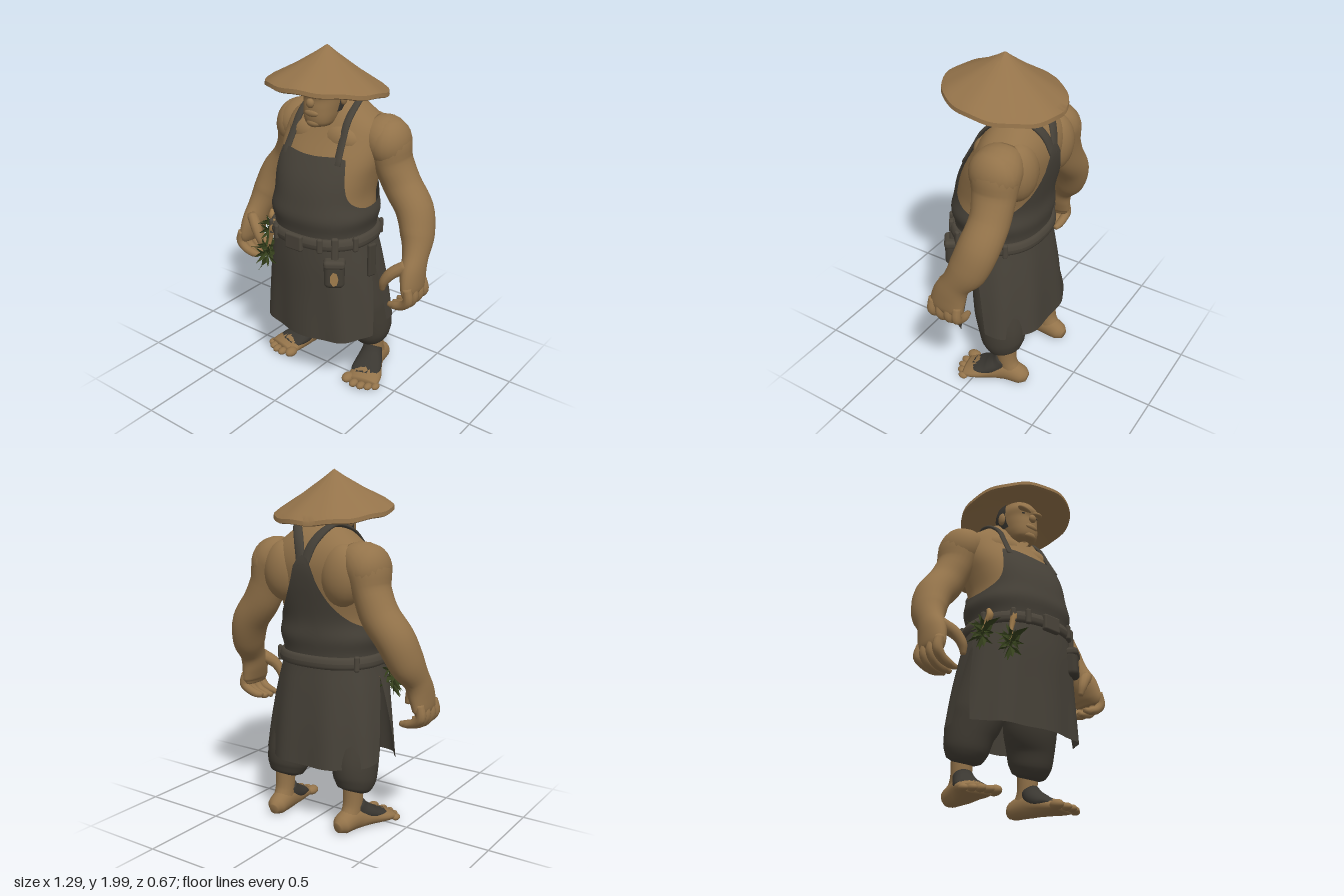
import * as THREE from 'three';
import { toCreasedNormals } from 'three/addons/utils/BufferGeometryUtils.js';
import { RoundedBoxGeometry } from 'three/addons/geometries/RoundedBoxGeometry.js';

const mat = (name, color, side = THREE.FrontSide) => {
  const m = new THREE.MeshStandardMaterial({ color, side });
  m.name = name;
  return m;
};

// Grid surface from f(i, j); i runs around, j runs along
function grid(f, nu, nv, closed) {
  const pos = [], idx = [], cols = closed ? nu : nu + 1;
  for (let j = 0; j <= nv; j++) for (let i = 0; i < cols; i++) pos.push(...f(i / nu, j / nv));
  for (let j = 0; j < nv; j++) for (let i = 0; i < nu; i++) {
    const a = j * cols + i, b = j * cols + (i + 1) % cols, c = a + cols, d = b + cols;
    idx.push(a, b, c, b, d, c);
  }
  const g = new THREE.BufferGeometry();
  g.setAttribute('position', new THREE.Float32BufferAttribute(pos, 3));
  g.setIndex(idx);
  g.computeVertexNormals();
  return g;
}

// Smooth lookup in rows sorted by their first value
function sample(rows, y) {
  let k = 0;
  while (k < rows.length - 2 && y > rows[k + 1][0]) k++;
  const p = rows[Math.max(k - 1, 0)], a = rows[k], b = rows[k + 1], q = rows[Math.min(k + 2, rows.length - 1)];
  const h = b[0] - a[0], t = Math.min(Math.max((y - a[0]) / h, 0), 1), t2 = t * t, t3 = t2 * t;
  return a.map((v, i) => {
    const m0 = (b[i] - p[i]) / (b[0] - p[0]) * h, m1 = (q[i] - v) / (q[0] - a[0]) * h;
    return (2 * t3 - 3 * t2 + 1) * v + (t3 - 2 * t2 + t) * m0 + (3 * t2 - 2 * t3) * b[i] + (t3 - t2) * m1;
  });
}

// Point on a stacked body; rows are [y, half width, front z, back z], angle 0 faces front
const bend = v => Math.sign(v) * Math.abs(v) ** 0.85;
function around(rows, ang, y, off = 0) {
  const [, rx, zf, zb] = sample(rows, y);
  return [bend(Math.sin(ang)) * (rx + off), y, (zf + zb) / 2 + bend(Math.cos(ang)) * ((zf - zb) / 2 + off)];
}
function stack(rows, nu = 48, nv = 36) {
  const y0 = rows[0][0], y1 = rows[rows.length - 1][0];
  return grid((u, v) => around(rows, (u * 2 - 1) * Math.PI, y0 + (y1 - y0) * v), nu, nv, true);
}

// Swept limb; points are [x, y, z, half width, half depth]
function limb(pts, s = 1, nu = 16, floor = -1) {
  const path = new THREE.CatmullRomCurve3(pts.map(p => new THREE.Vector3(p[0] * s, p[1], p[2])));
  const radii = new THREE.CatmullRomCurve3(pts.map(p => new THREE.Vector3(p[3], p[4], 0)));
  const n = (pts.length - 1) * 5;
  return grid((u, v) => {
    const k = Math.round(v * (n + 2)), t = Math.min(Math.max((k - 1) / n, 0), 1);
    const c = path.getPoint(t), r = radii.getPoint(t), T = path.getTangent(t);
    if (k === 0 || k === n + 2) r.set(0, 0, 0);
    const side = new THREE.Vector3(1, 0, 0).addScaledVector(T, -T.x).normalize();
    const nor = T.clone().cross(side);
    c.addScaledVector(side, Math.cos(u * 2 * Math.PI) * r.x).addScaledVector(nor, Math.sin(u * 2 * Math.PI) * r.y);
    return [c.x, Math.max(c.y, floor), c.z];
  }, nu, n + 2, true);
}

const TORSO = [[0.85, 0.28, 0.25, -0.23], [1, 0.27, 0.25, -0.23], [1.1, 0.28, 0.255, -0.235], [1.2, 0.275, 0.245, -0.245],
  [1.3, 0.29, 0.215, -0.265], [1.4, 0.31, 0.165, -0.285], [1.5, 0.31, 0.105, -0.295], [1.58, 0.285, 0.06, -0.28],
  [1.64, 0.215, 0.03, -0.25], [1.69, 0.15, 0, -0.21], [1.74, 0.08, -0.02, -0.15]];
const HEAD = [[1.572, 0.03, 0.1, 0.03], [1.585, 0.066, 0.13, 0], [1.62, 0.085, 0.145, -0.04], [1.68, 0.097, 0.145, -0.09],
  [1.73, 0.103, 0.14, -0.11], [1.78, 0.105, 0.15, -0.115], [1.83, 0.09, 0.12, -0.1]];
const SKIRT = [[0.35, 0.385, 0.268, -0.32], [0.6, 0.355, 0.27, -0.297], [0.8, 0.323, 0.275, -0.27], [0.95, 0.292, 0.27, -0.245], [1.02, 0.285, 0.265, -0.24]];
// Upper edge of the bib by angle from the front
const BIB = [[0, 1.43], [0.66, 1.43], [0.74, 1.36], [0.95, 1.24], [1.2, 1.18], [1.6, 1.15], [2.2, 1.19], [2.65, 1.28], [2.92, 1.4], [3.04, 1.52], [3.15, 1.56]];

export function createModel() {
  const model = new THREE.Group();
  const skin = mat('skin', 0x93734a), straw = mat('straw', 0x94734a), cloth = mat('apronCloth', 0x464138, THREE.DoubleSide);
  const dark = mat('trouserCloth', 0x423d34), belt = mat('beltLeather', 0x4a443a), hair = mat('hair', 0x3a3731);
  const leaf = mat('leaf', 0x35401c, THREE.DoubleSide), root = mat('root', 0xa07c4c);
  const add = (name, geo, m, parent = model) => {
    const mesh = new THREE.Mesh(geo, m);
    mesh.name = name;
    parent.add(mesh);
    return mesh;
  };
  const part = name => { const g = new THREE.Group(); g.name = name; model.add(g); return g; };
  const blob = (name, p, r, m, parent = model) => {
    const b = add(name, new THREE.SphereGeometry(1, 20, 14), m, parent);
    b.position.set(...p);
    b.scale.set(...r);
    return b;
  };

  // Torso, neck and head
  add('torso', stack(TORSO), skin);
  add('neck', limb([[0, 1.5, -0.1, 0.13, 0.12], [0, 1.6, -0.05, 0.1, 0.1], [0, 1.72, -0.02, 0.085, 0.09]], 1, 24), skin);
  const head = part('headGroup');
  add('head', stack(HEAD, 32, 24), skin, head);
  add('hair', grid((u, v) => around(HEAD, 1.5 + u * (2 * Math.PI - 3), 1.66 + 0.17 * v, 0.009), 32, 8, false), hair, head);
  blob('nose', [0, 1.712, 0.148], [0.024, 0.026, 0.02], skin, head);
  blob('mouth', [0, 1.655, 0.138], [0.045, 0.02, 0.016], skin, head);
  blob('chin', [0, 1.6, 0.12], [0.045, 0.025, 0.028], skin, head);

  // Tilted straw hat, hollow underneath
  const hat = new THREE.LatheGeometry([[0.001, 1.9], [0.15, 1.835], [0.3, 1.767], [0.325, 1.757], [0.336, 1.763], [0.333, 1.785],
    [0.3, 1.81], [0.17, 1.885], [0.06, 1.957], [0.001, 2]].map(p => new THREE.Vector2(...p)), 64);
  const hp = hat.attributes.position;
  for (let i = 0; i < hp.count; i++) {
    const x = hp.getX(i), z = hp.getZ(i), w = Math.hypot(x, z) / 0.336;
    hp.setY(i, hp.getY(i) + z * 0.14 + w * w * 0.004 * Math.sin(Math.atan2(x, z) * 9));
  }
  add('hat', toCreasedNormals(hat, 0.7), straw);

  // Paired parts
  for (const s of [1, -1]) {
    const side = s > 0 ? 'left' : 'right';
    blob(side + 'Brow', [s * 0.045, 1.765, 0.13], [0.05, 0.016, 0.026], skin, head).rotation.z = s * 0.2;
    blob(side + 'Eye', [s * 0.045, 1.742, 0.126], [0.018, 0.006, 0.008], hair, head);
    blob(side + 'Ear', [s * 0.112, 1.73, 0], [0.016, 0.04, 0.028], skin, head);
    blob(side + 'Chest', [s * 0.11, 1.5, 0.02], [0.13, 0.09, 0.075], skin);
    blob(side + 'ShoulderBlade', [s * 0.19, 1.45, -0.2], [0.13, 0.17, 0.105], skin);

    const arm = part(side + 'Arm');
    add('arm', limb([[0.2, 1.55, -0.13, 0.08, 0.11], [0.3, 1.5, -0.14, 0.125, 0.145], [0.345, 1.37, -0.15, 0.1, 0.125],
      [0.4, 1.25, -0.16, 0.105, 0.112], [0.49, 1.13, -0.15, 0.103, 0.115], [0.54, 1, -0.11, 0.09, 0.11],
      [0.568, 0.9, -0.05, 0.068, 0.085], [0.58, 0.82, -0.015, 0.06, 0.1], [0.592, 0.74, 0, 0.046, 0.105],
      [0.592, 0.7, 0, 0.025, 0.085]], s, 24), skin, arm);
    blob('deltoid', [s * 0.325, 1.48, -0.14], [0.108, 0.14, 0.145], skin, arm);
    [0.08, 0.028, -0.025, -0.075].forEach((z, i) => {
      const e = [0.01, 0, 0.005, 0.02][i];
      add('finger' + (i + 1), limb([[0.603, 0.77, z, 0.025, 0.028], [0.615, 0.7, z * 1.05, 0.028, 0.028], [0.583, 0.65 + e, z, 0.026, 0.027],
        [0.53, 0.63 + e, z * 0.95, 0.023, 0.025], [0.485, 0.625 + e, z * 0.9, 0.014, 0.015]], s, 10), skin, arm);
    });
    add('thumb', limb([[0.56, 0.87, 0.03, 0.035, 0.04], [0.495, 0.825, 0.07, 0.034, 0.034], [0.458, 0.77, 0.085, 0.027, 0.027],
      [0.445, 0.715, 0.08, 0.014, 0.015]], s, 10), skin, arm);

    const leg = part(side + 'Leg');
    add('trouserLeg', limb([[0.15, 0.9, -0.02, 0.12, 0.15], [0.195, 0.5, -0.09, 0.15, 0.16], [0.225, 0.38, -0.12, 0.13, 0.15],
      [0.235, 0.29, -0.135, 0.118, 0.132], [0.237, 0.235, -0.15, 0.092, 0.1], [0.237, 0.22, -0.155, 0.06, 0.06]], s, 24), dark, leg);
    add('ankle', limb([[0.24, 0.3, -0.16, 0.06, 0.062], [0.24, 0.15, -0.165, 0.055, 0.06], [0.237, 0.05, -0.19, 0.058, 0.085]], s), skin, leg);
    add('foot', limb([[0.225, 0.045, -0.3, 0.025, 0.03], [0.23, 0.055, -0.265, 0.055, 0.055], [0.245, 0.07, -0.15, 0.066, 0.075],
      [0.27, 0.055, -0.06, 0.085, 0.058], [0.3, 0.04, 0.02, 0.1, 0.042], [0.312, 0.03, 0.075, 0.095, 0.028]], s, 20, 0.008), skin, leg);
    add('footWrap', limb([[0.243, 0.15, -0.145, 0.058, 0.05], [0.25, 0.105, -0.115, 0.072, 0.055], [0.268, 0.075, -0.06, 0.086, 0.048],
      [0.288, 0.064, 0, 0.088, 0.027], [0.296, 0.055, 0.035, 0.07, 0.022]], s, 20, 0.014), hair, leg);
    [[0.222, 0.085, 0.033], [0.278, 0.104, 0.025], [0.325, 0.098, 0.024], [0.365, 0.08, 0.023], [0.4, 0.052, 0.022]].forEach(([x, z, r], i) =>
      blob('toe' + (i + 1), [s * x, r * 0.85 + 0.008, z], [r, r * 0.85, r * 1.35], skin, leg));

    add(side + 'Strap', limb([[0.178, 1.4, 0.15, 0.024, 0.008], [0.167, 1.52, 0.085, 0.023, 0.009], [0.16, 1.61, 0.032, 0.023, 0.011],
      [0.148, 1.688, -0.07, 0.024, 0.012], [0.115, 1.71, -0.18, 0.025, 0.012], [0.05, 1.625, -0.262, 0.03, 0.012],
      [0.008, 1.5, -0.302, 0.03, 0.01]], s, 12), cloth);
  }

  // Bib wrapped around the torso, with a narrow strip up the spine
  add('bib', grid((u, v) => {
    const ang = (u * 2 - 1) * Math.PI, top = sample(BIB, Math.abs(ang))[1], y = 0.95 + (top - 0.95) * v;
    const puff = 0.012 * Math.exp(-(((y - 1.09) / 0.06) ** 2));
    return around(TORSO, ang, y, 0.016 + puff);
  }, 96, 22, true), cloth);

  // Front and back skirt panels with open side slits
  const panel = (mid, halfTop, halfLow, low) => grid((u, v) => {
    const y = low + (1 - low) * v, e = u * 2 - 1, drop = 1 - v;
    const ang = mid + e * (halfLow + (halfTop - halfLow) * v);
    const [x, , z] = around(SKIRT, ang, y, drop * 0.008 * Math.cos(ang * 9));
    return [x, y + drop * 0.03 * e * e, z];
  }, 44, 14, false);
  add('frontSkirt', panel(0, 1.66, 1.32, 0.35), cloth);
  add('backSkirt', panel(Math.PI, 1.6, 1.38, 0.375), cloth);

  // Belt, buckle and loops
  add('belt', grid((u, v) => {
    const b = v * 2 * Math.PI;
    return around(SKIRT, (u * 2 - 1) * Math.PI, 0.965 + 0.035 * Math.sin(b), 0.008 + 0.018 * Math.cos(b));
  }, 64, 12, true), belt);
  const box = (name, size, p, m, ry = 0, r = 0.012) => {
    const b = add(name, new RoundedBoxGeometry(...size, 3, r), m);
    b.position.set(...p);
    b.rotation.y = ry;
    return b;
  };
  box('buckle', [0.115, 0.095, 0.035], [-0.005, 0.957, 0.292], belt);
  [-0.75, -0.45, 0.45, 1.2, 2.2, -2.2, -1.4].forEach((a, i) =>
    box('beltLoop' + (i + 1), [0.032, 0.09, 0.026], around(SKIRT, a, 0.965, 0.024), belt, a));

  // Hip pouch with hanging strap and a worn patch
  box('pouch', [0.115, 0.15, 0.08], [0.222, 0.795, 0.225], dark, 0.6, 0.03);
  box('pouchFlap', [0.12, 0.05, 0.088], [0.222, 0.865, 0.225], belt, 0.6, 0.02);
  box('pouchStrap', [0.04, 0.16, 0.03], [0.222, 0.935, 0.222], belt, 0.6);
  const patch = add('pouchPatch', new THREE.CircleGeometry(0.03, 7), root);
  patch.position.set(0.247, 0.785, 0.26);
  patch.rotation.y = 0.6;
  patch.scale.set(0.8, 1.5, 1);
  box('hangingCloth', [0.055, 0.2, 0.025], [0.342, 0.85, 0.04], dark, 1.3);

  // Herb bunches tied to the belt: diamond leaves fanned around a root
  const blade = new THREE.BufferGeometry();
  blade.setAttribute('position', new THREE.Float32BufferAttribute(
    [0, 0, 0, 0.016, 0.045, 0.006, 0, 0.1, 0, 0, 0, 0, 0, 0.1, 0, -0.016, 0.045, 0.006], 3));
  blade.computeVertexNormals();
  [[-0.335, 0.88, 0.1, -0.31, 0.97, 0.12], [-0.255, 0.8, 0.235, -0.222, 0.965, 0.215]].forEach(([x, y, z, rx, ry, rz], n) => {
    const bunch = part('herbBunch' + (n + 1));
    add('stem', limb([[rx, ry + 0.04, rz, 0.012, 0.012], [rx, ry, rz + 0.01, 0.02, 0.02], [(x + rx) / 2, (y + ry) / 2, (z + rz) / 2, 0.012, 0.012],
      [x, y, z, 0.008, 0.008]], 1, 8), root, bunch);
    for (let i = 0; i < 34; i++) {
      const h = 1 - 2 * (i + 0.5) / 34, a = i * 2.4, r = Math.sqrt(1 - h * h);
      const dir = new THREE.Vector3(r * Math.cos(a), h * 1.1 - 0.15, r * Math.sin(a) * 0.7).normalize();
      const l = add('leaf' + (i + 1), blade, leaf, bunch);
      l.quaternion.setFromUnitVectors(new THREE.Vector3(0, 1, 0), dir);
      l.position.set(x, y + (i % 3 - 1) * 0.03, z);
      l.scale.setScalar(0.75 + 0.12 * (i % 4));
    }
  });
  return model;
}
